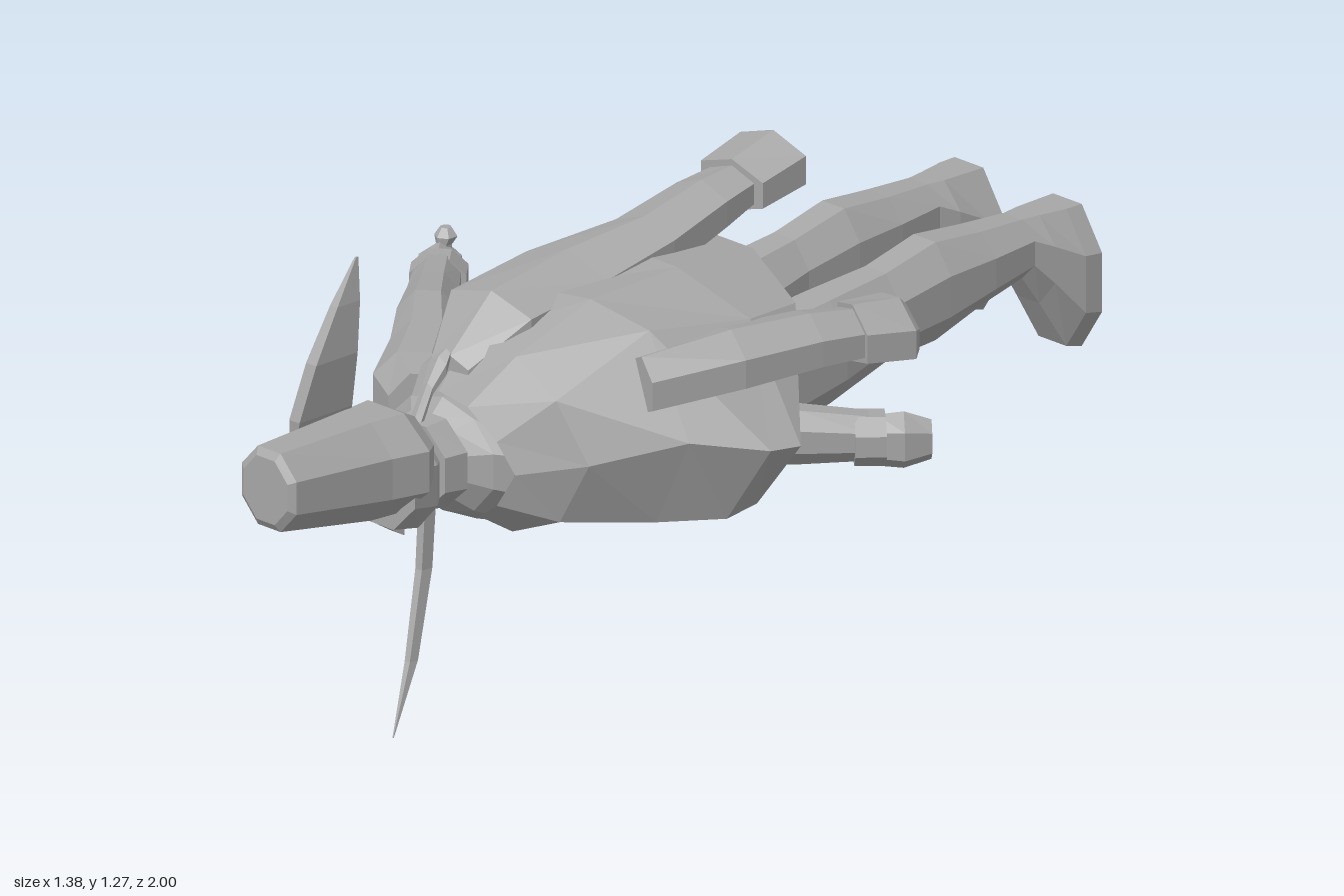
import * as THREE from 'three';

const V = (x, y, z) => new THREE.Vector3(x, y, z);
const X = V(1, 0, 0), Y = V(0, 1, 0), Z = V(0, 0, 1);

export function createModel() {
  const model = new THREE.Group();
  const grey = new THREE.MeshStandardMaterial({ color: 0xa6a6a6, flatShading: true });
  grey.name = 'grey';
  const greyOpen = grey.clone();
  greyOpen.name = 'grey cloth';
  greyOpen.side = THREE.DoubleSide;

  const add = (name, geometry, material = grey, parent = model) => {
    const mesh = new THREE.Mesh(geometry, material);
    mesh.name = name;
    parent.add(mesh);
    return mesh;
  };

  // Surface through rows of points; closed rows are capped into a solid
  const skin = (rows, closed) => {
    const n = rows[0].length, pos = rows.flat().flatMap(p => [p.x, p.y, p.z]), idx = [];
    for (let r = 0; r < rows.length - 1; r++) {
      for (let i = 0; i < (closed ? n : n - 1); i++) {
        const a = r * n + i, b = r * n + (i + 1) % n;
        idx.push(a, b, b + n, a, b + n, a + n);
      }
    }
    if (closed) {
      const e = (rows.length - 1) * n;
      for (let i = 1; i < n - 1; i++) idx.push(0, i + 1, i, e, e + i, e + i + 1);
    }
    const g = new THREE.BufferGeometry();
    g.setAttribute('position', new THREE.Float32BufferAttribute(pos, 3));
    g.setIndex(idx);
    g.computeVertexNormals();
    return g;
  };

  // Rings [x, y, z, half width, half height] along a limb
  const loft = (rings, side = X, up = Y, n = 8) => {
    const a = rings[0], b = rings[rings.length - 1];
    const dir = V(b[0] - a[0], b[1] - a[1], b[2] - a[2]);
    const s = V(0, 0, 0).crossVectors(side, up).dot(dir) > 0 ? 1 : -1;
    return skin(rings.map(([x, y, z, w, h]) => Array.from({ length: n }, (_, i) => {
      const t = s * (i + 0.5) / n * Math.PI * 2, k = 1 / Math.cos(Math.PI / n);
      return V(x, y, z)
        .addScaledVector(side, Math.cos(t) * w * k)
        .addScaledVector(up, Math.sin(t) * h * k);
    })), true);
  };

  // Torso and neck
  add('torso', loft([
    [0, .83, .62, .07, .07], [0, .83, .56, .09, .08], [0, .83, .53, .14, .11],
    [0, .81, .44, .22, .13], [0, .81, .3, .18, .15], [0, .81, .1, .15, .13],
    [0, .8, 0, .17, .13], [0, .8, -.1, .2, .12], [0, .81, -.17, .17, .1],
  ], X, Y, 10));
  add('collar', loft([[0, .83, .61, .09, .085], [0, .83, .56, .1, .09]]));
  add('belt', loft([[0, .805, .06, .165, .14], [0, .8, 0, .18, .145]], X, Y, 10));
  add('coatFlap', loft([[0, .69, 0, .06, .02], [0, .67, -.1, .04, .015]], X, Y, 4));

  // Head, tall hat and plume
  add('head', loft([
    [0, .82, .59, .06, .08], [0, .815, .63, .09, .1], [0, .83, .7, .1, .1],
  ]));
  add('nose', loft([[0, .72, .65, .02, .02], [0, .75, .7, .01, .02]], X, Y, 4));
  add('hat', loft([
    [0, .87, .64, .09, .075], [0, .865, .68, .12, .1], [0, .865, .76, .1, .1],
    [0, .88, .99, .075, .08], [0, .88, 1, .06, .065],
  ]));
  add('plume', loft([
    [-.07, .88, .8, .008, .06], [-.055, .97, .8, .014, .07], [-.045, 1.08, .78, .014, .055],
    [-.05, 1.18, .74, .01, .03], [-.06, 1.26, .7, .002, .003],
  ], X, Z, 4));
  add('pigtail', loft([
    [0, .89, .61, .015, .015], [0, .97, .57, .014, .012],
    [0, 1.01, .54, .022, .018], [0, 1.03, .52, .012, .01],
  ], X, Y, 6));

  // Legs with boots
  for (const s of [-1, 1]) {
    const leg = new THREE.Group();
    leg.name = s > 0 ? 'leftLeg' : 'rightLeg';
    model.add(leg);
    add('legAndFoot', loft([
      [s * .1, .8, -.02, .09, .11], [s * .11, .81, -.15, .09, .115],
      [s * .12, .845, -.35, .083, .105], [s * .125, .875, -.5, .068, .09],
      [s * .125, .895, -.63, .073, .1], [s * .128, .91, -.75, .07, .075],
      [s * .13, .92, -.86, .06, .06], [s * .13, .89, -.9, .075, .09],
      [s * .135, .84, -.96, .092, .14], [s * .135, .835, -1, .095, .145],
    ]), grey, leg);
    add('bootTop', loft([
      [s * .125, .81, -.58, .03, .012], [s * .125, .81, -.68, .02, .008],
    ], X, Y, 4), grey, leg);
  }

  // Arms, hands and thumbs
  for (const s of [-1, 1]) {
    const arm = new THREE.Group();
    arm.name = s > 0 ? 'leftArm' : 'rightArm';
    model.add(arm);
    const across = V(s * .76, 0, .65);
    add('sleeve', loft([
      [s * .12, .86, .46, .07, .08], [s * .2, .87, .41, .08, .08],
      [s * .3, .885, .28, .07, .07], [s * .4, .895, .18, .06, .065],
      [s * .5, .885, .07, .05, .055], [s * .59, .88, -.03, .045, .045],
    ], across), grey, arm);
    add('cuff', loft([
      [s * .57, .875, -.01, .055, .05], [s * .61, .875, -.055, .055, .05],
    ], across), grey, arm);
    add('hand', loft([
      [s * .6, .87, -.04, .032, .045], [s * .635, .87, -.08, .042, .05],
      [s * .67, .87, -.12, .025, .035],
    ], across, Y, 6), grey, arm);
    add('thumb', loft([
      [s * .59, .85, -.06, .013, .015], [s * .62, .84, -.12, .01, .013],
    ], across, Y, 5), grey, arm);
  }

  // Curved sabre
  const sabre = new THREE.Group();
  sabre.name = 'sabre';
  model.add(sabre);
  add('blade', loft([
    [-.63, .82, -.06, .011, .014], [-.635, .55, -.055, .01, .015],
    [-.618, .28, -.02, .009, .014], [-.58, .12, .05, .007, .011], [-.532, 0, .145, .001, .001],
  ], X, Z, 4), grey, sabre);
  add('guard', loft([[-.63, .81, -.07, .045, .04], [-.63, .825, -.07, .045, .04]], X, Z, 6), grey, sabre);
  add('grip', loft([
    [-.63, .82, -.07, .014, .014], [-.635, .92, -.09, .014, .014],
    [-.635, .935, -.095, .02, .02], [-.64, .95, -.1, .01, .01],
  ], X, Z, 6), grey, sabre);

  // Cloak over the back and left arm, rows from the collar to the hem
  const cloak = [
    [[-.09, .91, .53], [0, .96, .54], [.1, .96, .56], [.18, .91, .56], [.22, .85, .55], [.18, .78, .56], [.12, .74, .55]],
    [[-.14, .95, .45], [0, 1.05, .46], [.14, 1.05, .47], [.27, 1, .49], [.34, .88, .47], [.27, .75, .48], [.13, .69, .47]],
    [[-.17, 1, .28], [0, 1.11, .3], [.17, 1.13, .3], [.33, 1.11, .3], [.46, .92, .32], [.38, .74, .33], [.14, .69, .33]],
    [[-.18, 1.03, .08], [0, 1.14, .08], [.18, 1.14, .08], [.4, 1.1, .1], [.56, .9, .2], [.46, .74, .22], [.2, .71, .2]],
    [[-.17, 1.08, -.14], [0, 1.12, -.13], [.17, 1.12, -.13], [.38, 1.09, -.04], [.58, .9, .14], [.46, .75, .14], [.25, .71, .13]],
  ].map(row => row.map(p => V(...p)));
  add('cloak', skin(cloak, false), greyOpen);

  // Empty sleeves of the cloak
  add('cloakBackSleeve', loft([
    [0, .99, .51, .05, .03], [0, 1.07, .4, .11, .05], [0, 1.09, .2, .11, .06],
    [.03, 1.13, .02, .08, .05], [.03, 1.17, -.13, .07, .045], [.03, 1.19, -.22, .06, .035],
  ], X, Y, 6));
  add('cloakBackCuff', loft([
    [.03, 1.19, -.21, .085, .045], [.03, 1.215, -.32, .09, .05], [.03, 1.21, -.34, .06, .03],
  ], X, Y, 6));
  const tilt = V(.93, -.15, .33);
  add('cloakSideSleeve', loft([
    [.36, 1.02, .35, .05, .05], [.43, 1.05, .18, .07, .05],
    [.48, 1.06, .02, .065, .045], [.515, 1.055, -.1, .055, .04],
  ], tilt, Y, 6));
  add('cloakSideCuff', loft([
    [.505, 1.055, -.07, .07, .05], [.53, 1.05, -.17, .08, .05], [.535, 1.05, -.185, .06, .035],
  ], tilt, Y, 6));

  return model;
}
